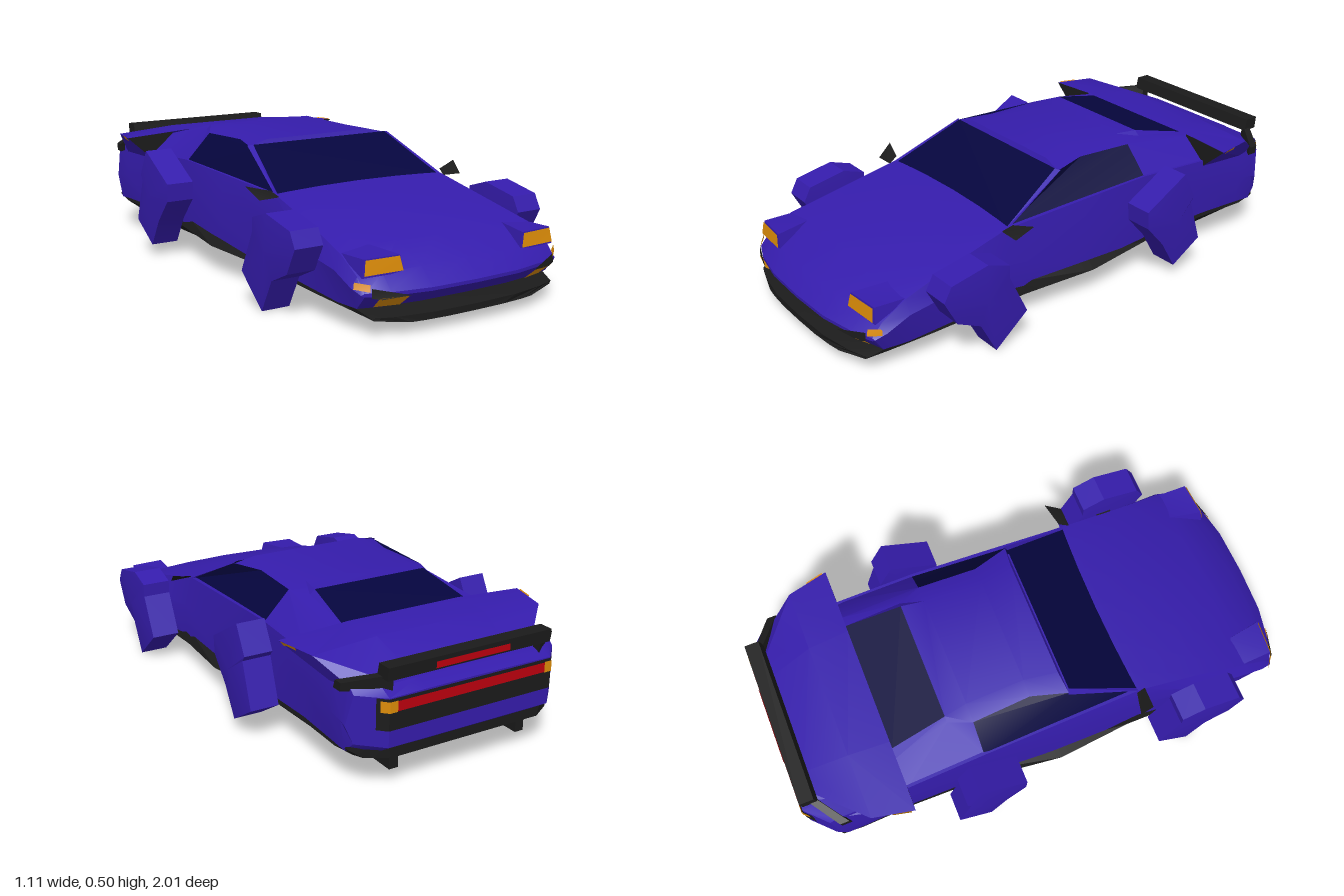
import * as THREE from 'three';
import { toCreasedNormals } from 'three/addons/utils/BufferGeometryUtils.js';

const mat = (name, color) =>
  Object.assign(new THREE.MeshStandardMaterial({ color, side: THREE.DoubleSide }), { name });

// Polygons as a mesh; each one is wound to face away from the centre (cx, cy, cz(z))
function faces(name, material, polys, cy = 0.3, cz = z => z * 0.7, cx = 0) {
  const out = [];
  for (const poly of polys) {
    const pts = poly.map(p => new THREE.Vector3(...p));
    const mid = pts.reduce((s, p) => s.add(p), new THREE.Vector3()).divideScalar(pts.length);
    const normal = new THREE.Vector3();
    pts.forEach((p, i) => normal.add(p.clone().cross(pts[(i + 1) % pts.length])));
    const away = mid.clone().sub(new THREE.Vector3(cx, cy, cz(mid.z)));
    if (normal.dot(away) < 0) pts.reverse();
    for (let i = 1; i < pts.length - 1; i++) out.push(pts[0], pts[i], pts[i + 1]);
  }
  const geo = new THREE.BufferGeometry().setFromPoints(out);
  const mesh = new THREE.Mesh(toCreasedNormals(geo, 0.4), material);
  mesh.name = name;
  return mesh;
}

const flip = p => [-p[0], p[1], p[2]];
const both = polys => polys.concat(polys.map(q => q.map(flip)));

// Rounds the nose and chamfers the tail corners in plan
function bend([x, y, z]) {
  if (z > 0.8) return [x, y, z - 0.07 * Math.abs(x / 0.42) ** 3 * (z - 0.8) / 0.2];
  if (z < -0.8) return [x, y, z + Math.max(0, Math.abs(x) - 0.33) * (-z - 0.8) / 0.2];
  return [x, y, z];
}

// Closed loft through stations [z, xTop, yTop, xMid, yMid, xBottom, yBottom, yCentre]
function loft(stations, cols = [-1, -0.8, -0.45, 0, 0.45, 0.8, 1]) {
  const n = cols.length;
  const rings = stations.map(([z, xt, yt, xm, ym, xb, yb, yc]) => [
    ...cols.map(c => [c * xt, yc + (yt - yc) * c * c, z]), [xm, ym, z],
    ...cols.map(c => [-c * xb, yb, z]), [-xm, ym, z]].map(bend));
  const polys = [];
  for (let s = 0; s < rings.length - 1; s++) {
    const a = rings[s], b = rings[s + 1];
    a.forEach((p, i) => {
      const j = (i + 1) % a.length;
      polys.push([p, a[j], b[j]], [p, b[j], b[i]]);
    });
  }
  for (const r of [rings[0], rings.at(-1)]) {
    for (let k = 0; k < n - 1; k++) polys.push([r[k], r[k + 1], r[2 * n - 1 - k], r[2 * n - k]]);
    polys.push([r[n - 1], r[n], r[n + 1]], [r[0], r[2 * n], r[2 * n + 1]]);
  }
  return polys;
}

// Flat plate across the tail
const tailStrip = (x0, x1, y0, y1, z) => [[[x0, y0, z], [x1, y0, z], [x1, y1, z], [x0, y1, z]].map(bend)];

export function createModel() {
  const car = new THREE.Group();
  car.name = 'car';
  const paint = mat('purple paint', 0x351cac);
  const glass = mat('dark blue glass', 0x05053e);
  const black = mat('black trim', 0x1b1b1b);
  const amber = mat('amber lamp', 0xdc8c08);
  const red = mat('red lamp', 0xbc000e);
  const add = (...args) => car.add(faces(...args));

  // Lower body shell
  add('body', paint, loft([
    [1.0, 0.41, 0.15, 0.42, 0.144, 0.41, 0.138, 0.15],
    [0.94, 0.41, 0.195, 0.43, 0.16, 0.41, 0.09, 0.21],
    [0.8, 0.41, 0.25, 0.435, 0.2, 0.42, 0.09, 0.27],
    [0.6, 0.39, 0.3, 0.425, 0.22, 0.42, 0.1, 0.318],
    [0.35, 0.375, 0.357, 0.4, 0.24, 0.41, 0.108, 0.364],
    [0, 0.387, 0.374, 0.41, 0.25, 0.42, 0.118, 0.378],
    [-0.3, 0.396, 0.387, 0.41, 0.26, 0.41, 0.13, 0.388],
    [-0.61, 0.402, 0.37, 0.41, 0.26, 0.41, 0.14, 0.37],
    [-0.8, 0.41, 0.365, 0.43, 0.25, 0.42, 0.14, 0.365],
    [-0.95, 0.41, 0.365, 0.43, 0.24, 0.42, 0.135, 0.365],
    [-1.0, 0.41, 0.34, 0.43, 0.23, 0.41, 0.17, 0.345]]), 0.2);

  // Underbody, sills and front splitter
  add('underbody', black, loft([
    [1.0, 0.39, 0.067, 0.38, 0.058, 0.26, 0.044, 0.067],
    [0.9, 0.41, 0.092, 0.405, 0.074, 0.25, 0.027, 0.092],
    [0.7, 0.41, 0.12, 0.42, 0.085, 0.3, 0.044, 0.12],
    [0.3, 0.405, 0.14, 0.42, 0.095, 0.29, 0.04, 0.14],
    [0, 0.4, 0.15, 0.45, 0.105, 0.29, 0.042, 0.15],
    [-0.3, 0.4, 0.165, 0.415, 0.115, 0.33, 0.054, 0.165],
    [-0.6, 0.4, 0.175, 0.412, 0.125, 0.35, 0.065, 0.175],
    [-0.85, 0.41, 0.175, 0.42, 0.127, 0.36, 0.085, 0.175],
    [-0.98, 0.4, 0.18, 0.42, 0.145, 0.38, 0.12, 0.18]]), 0.09);

  // Cabin: glass first, then the painted roof and pillars
  const base = [0.365, 0.352, 0.35], sill = [0.392, 0.38, -0.3];
  const header = [0.318, 0.485, 0.07], waist = [0.278, 0.49, -0.07], rearTop = [0.29, 0.485, -0.3];
  const roofEdge = [0.255, 0.485, -0.39], tail = [0.3, 0.445, -0.61];
  const inner = [[0.235, 0.505, 0.06], [0.215, 0.507, -0.07], [0.22, 0.506, -0.3], [0.235, 0.503, -0.39]];
  const glassTail = [0.26, 0.45, -0.61];
  const lip = [0.305, 0.491, 0.075];
  add('windshield', glass, [[base, lip, flip(lip), flip(base)]]);
  add('sideWindow', glass, both([[base, sill, rearTop, waist, header]]));
  add('rearWindow', glass, [[inner[3], glassTail, flip(glassTail), flip(inner[3])]]);
  const edge = [header, waist, rearTop, roofEdge];
  const roof = both([0, 1, 2].map(i => [inner[i], edge[i], edge[i + 1], inner[i + 1]]));
  for (let i = 0; i < 3; i++) roof.push([inner[i], inner[i + 1], flip(inner[i + 1]), flip(inner[i])]);
  roof.push([header, inner[0], flip(inner[0]), flip(header)]);
  add('roof', paint, roof);
  add('rearPillar', paint, both([
    [rearTop, sill, [0.4, 0.362, -0.61], tail, roofEdge],
    [roofEdge, tail, glassTail, inner[3]]]));
  // Windshield pillars
  add('frontPillar', paint, both([[base, [0.378, 0.354, 0.35], [0.325, 0.488, 0.065], lip]]));

  // Flared rear deck with intakes at its front
  const top = [[0.235, 0.455, -0.61], [0.225, 0.452, -0.77], [0.2, 0.375, -0.945]];
  const rim = [[0.507, 0.44, -0.61], [0.472, 0.435, -0.77], [0.29, 0.37, -0.94]];
  const foot = [[0.4, 0.345, -0.61], [0.425, 0.35, -0.8], [0.4, 0.35, -0.9]];
  const deck = both([0, 1].flatMap(i => [
    [top[i], rim[i], rim[i + 1], top[i + 1]], [rim[i], foot[i], foot[i + 1], rim[i + 1]]]));
  for (let i = 0; i < 2; i++) deck.push([top[i], top[i + 1], flip(top[i + 1]), flip(top[i])]);
  add('rearDeck', paint, deck, 0.38, () => -0.78);
  add('airIntake', black, both([[[0.3, 0.45, -0.612], rim[0], foot[0], [0.3, 0.37, -0.612]]]), 0.38, () => -0.78);
  // Small side markers on the flare edge
  add('rearMarker', amber, both([[[0.509, 0.442, -0.625], [0.492, 0.44, -0.695], [0.484, 0.426, -0.69], [0.495, 0.424, -0.625]]]),
    0.38, () => -0.78);

  // Spoiler bar with low swept lips at the corners: [x, z front, z back, y bottom, y top]
  const section = ([x, f, b, lo, hi]) => [[x, lo, f], [x, hi, f - 0.01], [x, hi, b - 0.005], [x, lo, b]];
  const prism = (a, b) => [a, b, ...a.map((p, i) => [p, a[(i + 1) % 4], b[(i + 1) % 4], b[i]])];
  add('spoiler', black, prism(section([-0.33, -0.93, -0.99, 0.395, 0.442]), section([0.33, -0.93, -0.99, 0.395, 0.442])),
    0.418, () => -0.965);
  for (const side of [1, -1]) {
    add('spoilerLip', black, prism(section([side * 0.3, -0.94, -0.975, 0.35, 0.41]),
      section([side * 0.437, -0.84, -0.88, 0.345, 0.375])), 0.37, () => -0.91, side * 0.37);
  }
  add('brakeLight', red, tailStrip(-0.15, 0.15, 0.405, 0.428, -0.999));
  // Tail panel and lamps
  add('tailPanel', black, tailStrip(-0.33, 0.33, 0.23, 0.34, -1.003)
    .concat(both(tailStrip(0.33, 0.36, 0.23, 0.34, -1.003))));
  add('tailLamp', red, tailStrip(-0.3, 0.3, 0.295, 0.33, -1.007));
  add('tailIndicator', amber, both(tailStrip(0.3, 0.33, 0.293, 0.332, -1.007)
    .concat(tailStrip(0.33, 0.352, 0.293, 0.332, -1.007))));

  // Headlight pods and front lamps
  const pod = [[0.25, 0.195, 0.93], [0.41, 0.195, 0.92], [0.4, 0.255, 0.915], [0.265, 0.255, 0.925]];
  const podBack = [[0.29, 0.262, 0.78], [0.405, 0.25, 0.78]];
  add('headlightPod', paint, both([pod, [pod[3], pod[2], podBack[1], podBack[0]],
    [pod[0], pod[3], podBack[0]], [pod[1], pod[2], podBack[1]]]), 0.2);
  add('headlight', amber, both([[[0.257, 0.203, 0.935], [0.405, 0.203, 0.927], [0.397, 0.252, 0.92], [0.268, 0.252, 0.929]]]));
  add('cornerLamp', amber, both([[[0.39, 0.176, 0.94], [0.432, 0.184, 0.908], [0.436, 0.162, 0.91], [0.395, 0.154, 0.945]]]));
  add('lowerLamp', amber, both([[[0.27, 0.092, 0.935], [0.36, 0.092, 0.913], [0.37, 0.134, 0.962], [0.27, 0.134, 0.987]]]));
  // Dark recesses between the corner and lower lamps
  add('noseRecess', black, both([[[0.265, 0.136, 0.99], [0.39, 0.166, 0.948], [0.392, 0.135, 0.95], [0.36, 0.128, 0.962]]]), 0.2);

  // Faceted wheel fairings from side outlines [z, y]
  const outlines = {
    frontWheelFairing: [[0.7, 0.32], [0.55, 0.35], [0.46, 0.32], [0.46, 0.27], [0.385, 0.115],
      [0.52, 0.003], [0.585, 0.125], [0.68, 0.17], [0.73, 0.265]],
    rearWheelFairing: [[-0.185, 0.32], [-0.37, 0.425], [-0.425, 0.32], [-0.41, 0.3], [-0.465, 0.13],
      [-0.335, 0.05], [-0.27, 0.16], [-0.19, 0.25]]
  };
  for (const [name, line] of Object.entries(outlines)) {
    const cz = line.reduce((s, p) => s + p[0], 0) / line.length;
    const cy = line.reduce((s, p) => s + p[1], 0) / line.length;
    for (const side of [1, -1]) {
      const polys = line.flatMap(([z, y], i) => {
        const [z2, y2] = line[(i + 1) % line.length];
        const o = side * 0.538, n = side * 0.428;
        return [[[o, y, z], [o, y2, z2], [n, y2, z2], [n, y, z]],
          [[o, y, z], [o, y2, z2], [side * 0.556, cy, cz]],
          [[n, y, z], [n, y2, z2], [side * 0.417, cy, cz]]];
      });
      add(name, paint, polys, cy, () => cz, side * 0.48);
    }
  }

  for (const side of [1, -1]) {
    // Axle stubs
    for (const [z, y] of [[0.55, 0.22], [-0.29, 0.25]]) {
      const axle = new THREE.Mesh(new THREE.BoxGeometry(0.06, 0.06, 0.06), black);
      axle.name = 'axleStub';
      axle.position.set(side * 0.41, y, z);
      car.add(axle);
    }
    // Rear diffuser fins
    const fin = new THREE.Mesh(new THREE.BoxGeometry(0.035, 0.045, 0.14), black);
    fin.name = 'diffuserFin';
    fin.position.set(side * 0.265, 0.077, -0.87);
    car.add(fin);
    // Door mirrors
    const a = [side * 0.372, 0.352, 0.37], b = [side * 0.475, 0.392, 0.305];
    const c = [side * 0.42, 0.378, 0.32], d = [side * 0.455, 0.35, 0.37], e = [side * 0.385, 0.37, 0.33];
    add('mirror', black, [[a, d, b], [a, b, c], [a, c, e], [d, b, c], [d, c, e], [a, d, e]], 0.365, () => 0.345, side * 0.42);
  }
  return car;
}
